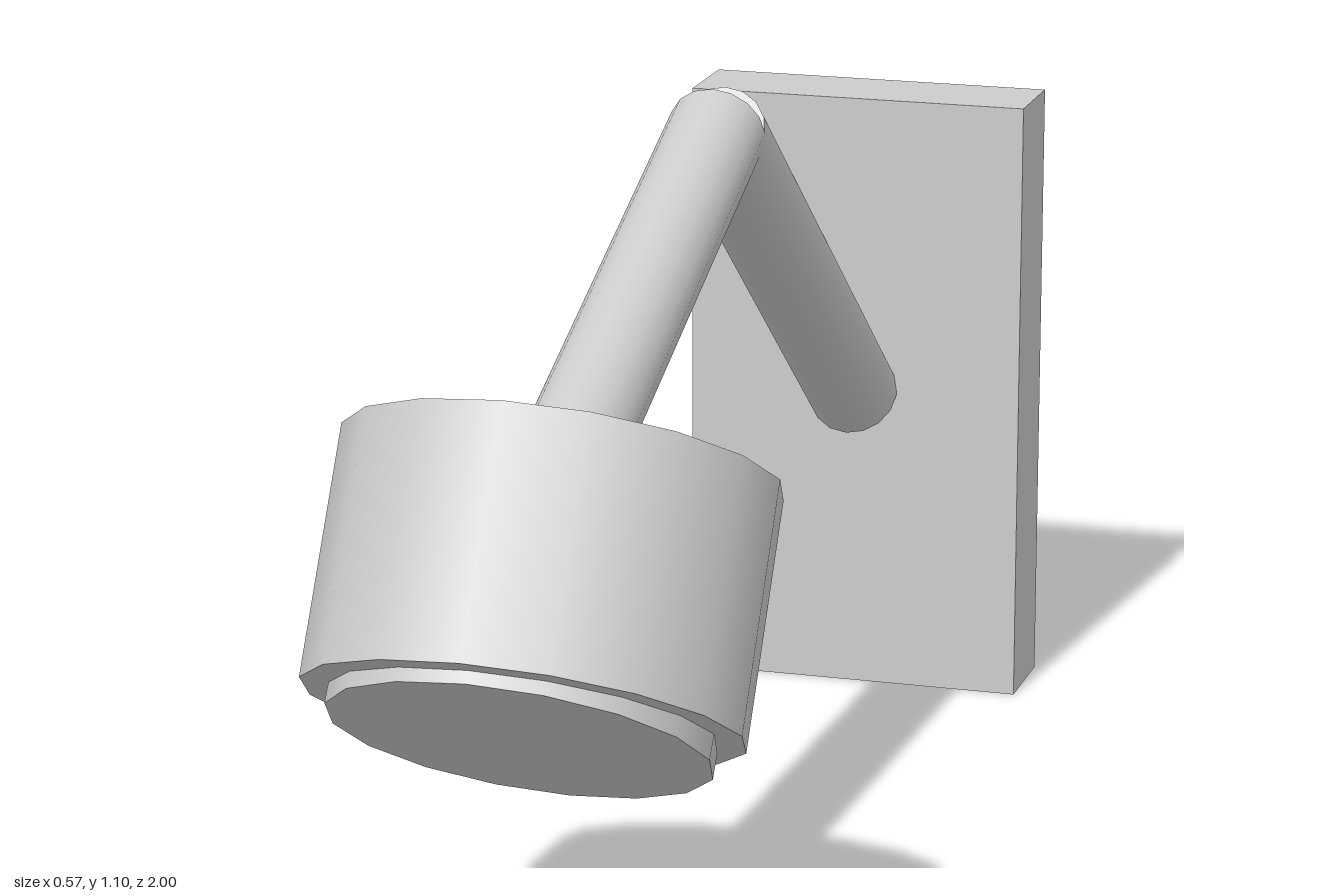
import * as THREE from 'three';

const grey = new THREE.MeshStandardMaterial({ color: 0xcccccc });
grey.name = 'light grey';

export function createModel() {
  const lamp = new THREE.Group();
  lamp.name = 'wallLamp';

  // Cylinder running between two points [y, z] in the middle plane
  function rod(name, radius, [y0, z0], [y1, z1]) {
    const length = Math.hypot(y1 - y0, z1 - z0);
    const mesh = new THREE.Mesh(new THREE.CylinderGeometry(radius, radius, length, 16), grey);
    mesh.name = name;
    mesh.position.set(0, (y0 + y1) / 2, (z0 + z1) / 2);
    mesh.rotation.x = Math.atan2(z1 - z0, y1 - y0);
    lamp.add(mesh);
  }

  // Wall plate
  const plate = new THREE.Mesh(new THREE.BoxGeometry(0.516, 0.922, 0.142), grey);
  plate.name = 'wallPlate';
  plate.position.set(0, 0.461, -0.929);
  lamp.add(plate);

  // Two arm sections meeting at the elbow
  rod('rearArm', 0.068, [0.465, -0.854], [1.032, -0.109]);
  rod('frontArm', 0.068, [0.743, 0.578], [1.034, -0.112]);

  // Lamp head and the slightly more tilted lens below it
  rod('lampHead', 0.287, [0.465, 0.755], [0.751, 0.585]);
  rod('lens', 0.25, [0.436, 0.773], [0.465, 0.753]);

  return lamp;
}
